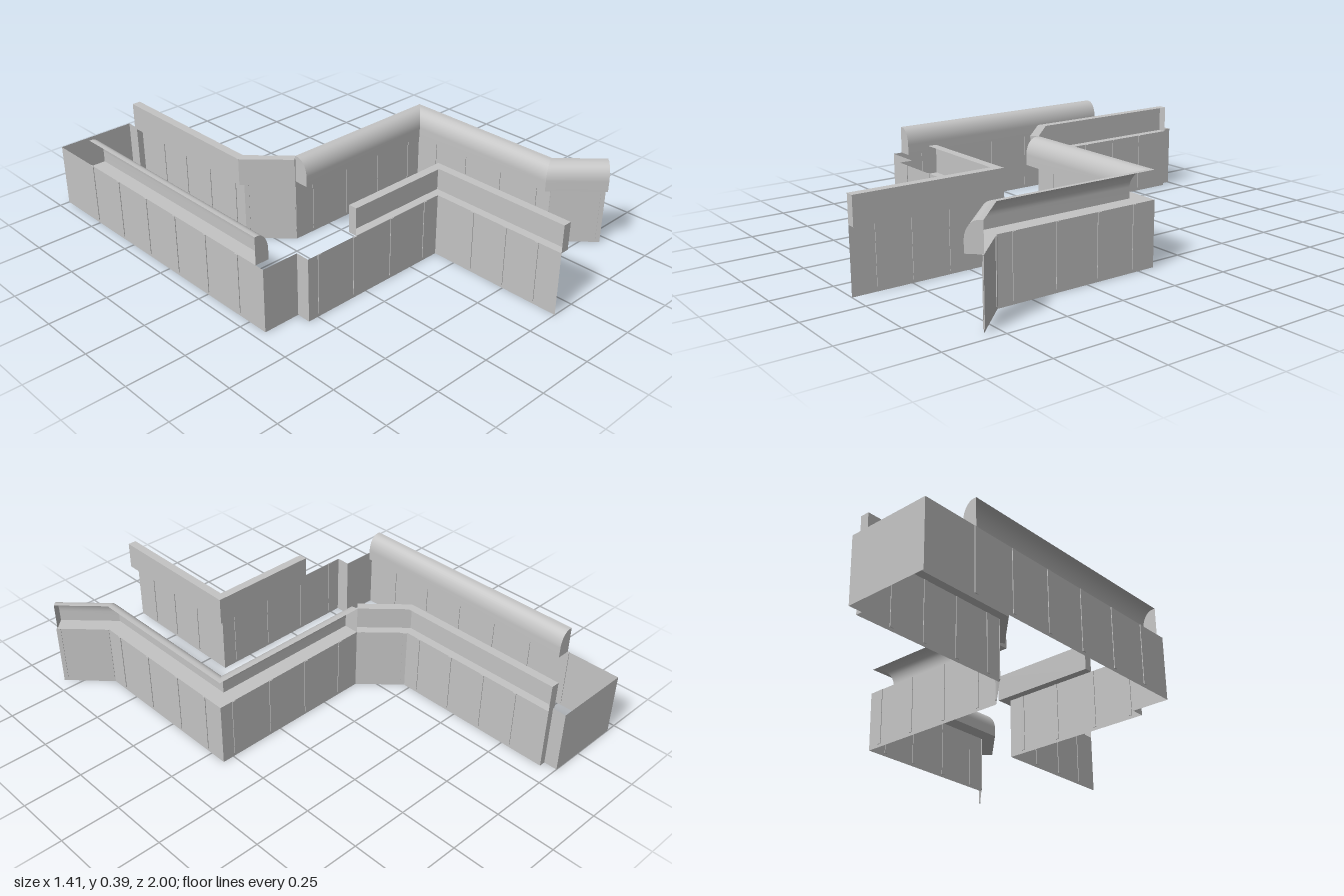
import * as THREE from 'three';

const WALL_H = 0.27, TOP = 0.387;

// Offset a path of [x, z] points sideways by d, with mitred corners.
function offsetPath(path, d) {
  const normal = (a, b) => {
    const l = Math.hypot(b[0] - a[0], b[1] - a[1]);
    return [(b[1] - a[1]) / l, -(b[0] - a[0]) / l];
  };
  return path.map((p, i) => {
    const n1 = normal(path[Math.max(i - 1, 0)], path[Math.max(i, 1)]);
    const j = Math.min(i, path.length - 2);
    const n2 = normal(path[j], path[j + 1]);
    const k = d / (1 + n1[0] * n2[0] + n1[1] * n2[1]);
    return [p[0] + (n1[0] + n2[0]) * k, p[1] + (n1[1] + n2[1]) * k];
  });
}

function meshFrom(positions, index, material, name) {
  let geo = new THREE.BufferGeometry();
  geo.setAttribute('position', new THREE.Float32BufferAttribute(positions, 3));
  geo.setIndex(index);
  geo.computeVertexNormals();
  const mesh = new THREE.Mesh(geo, material);
  mesh.name = name;
  return mesh;
}

// Sweep strips of a [depth, y] profile along a path; each strip is smooth, strips meet sharply.
function sweep(path, side, strips, capped, material, name) {
  const group = new THREE.Group();
  group.name = name;
  const ringAt = (profile, i) => profile.flatMap(([d, y]) => {
    const p = offsetPath(path, d * side)[i];
    return [p[0], y, p[1]];
  });
  for (let i = 0; i < path.length - 1; i++) {
    for (const profile of strips) {
      const n = profile.length, index = [];
      for (let k = 0; k < n - 1; k++) index.push(k, k + 1, n + k, k + 1, n + k + 1, n + k);
      group.add(meshFrom([...ringAt(profile, i), ...ringAt(profile, i + 1)], index, material, name + 'Face'));
    }
  }
  if (capped) {
    const outline = strips.flat();
    for (const i of [0, path.length - 1]) {
      const index = [];
      for (let k = 1; k < outline.length - 1; k++) index.push(0, k, k + 1);
      group.add(meshFrom(ringAt(outline, i), index, material, name + 'End'));
    }
  }
  return group;
}

export function createModel() {
  const model = new THREE.Group();
  const grey = new THREE.MeshStandardMaterial({ color: 0xc4c4c4, side: THREE.DoubleSide });
  grey.name = 'panel grey';

  // Corridor walls, open at both ends
  const outerWall = [[-0.332, -0.942], [-0.36, -0.942], [-0.36, -1], [-0.705, -1], [-0.705, 0.34],
    [-0.545, 0.34], [-0.545, 0.4], [0.147, 0.4], [0.147, 1]];
  const innerWall = [[-0.332, -0.942], [-0.332, -0.222], [-0.184, -0.074], [0.55, -0.074],
    [0.55, 0.65], [0.705, 0.81]];
  const wallProfile = [[[0, 0], [0, WALL_H]]];
  model.add(sweep(outerWall, 1, wallProfile, false, grey, 'outerWall'));
  model.add(sweep(innerWall, 1, wallProfile, false, grey, 'innerWall'));

  // Slim vertical joints between the wall panels
  const addJoints = (a, b, distances) => {
    const len = Math.hypot(b[0] - a[0], b[1] - a[1]);
    for (const d of distances) {
      const joint = new THREE.Mesh(new THREE.BoxGeometry(0.016, WALL_H - 0.015, 0.006), grey);
      joint.name = 'panelJoint';
      const t = d / len;
      joint.position.set(a[0] + (b[0] - a[0]) * t, (WALL_H + 0.013) / 2, a[1] + (b[1] - a[1]) * t);
      joint.rotation.y = -Math.atan2(b[1] - a[1], b[0] - a[0]);
      model.add(joint);
    }
  };
  addJoints([-0.705, -1], [-0.705, 0.34], [0.24, 0.43, 0.62, 0.81, 1.0, 1.19]);
  addJoints([-0.545, 0.4], [0.147, 0.4], [0.055, 0.235, 0.432, 0.62]);
  addJoints([0.147, 0.4], [0.147, 1], [0.18, 0.34, 0.49]);
  addJoints([-0.332, -0.942], [-0.332, -0.222], [0.16, 0.32, 0.487, 0.657]);
  addJoints([-0.184, -0.074], [0.55, -0.074], [0.1, 0.29, 0.48, 0.67]);
  addJoints([0.55, -0.074], [0.55, 0.65], [0.1, 0.27, 0.46, 0.65]);
  addJoints([-0.332, -0.222], [-0.184, -0.074], [0.01, 0.199]);
  addJoints([0.55, 0.65], [0.705, 0.81], [0.01, 0.212]);

  // Square channels, open towards the wall side
  const w = 0.037;
  const channel = [[[0, TOP], [w, TOP]], [[w, TOP], [w, WALL_H]], [[w, WALL_H], [0, WALL_H]]];
  model.add(sweep([[-0.305, 0.4], [0.147, 0.4], [0.147, 1]], 1, channel, true, grey, 'frontChannel'));
  model.add(sweep(innerWall.slice(0, 3), -1, channel, true, grey, 'backChannel'));

  // Rounded coves, open towards the wall side
  const cove = (depth) => {
    const curve = [[0, TOP - 0.001]];
    for (let i = 0; i <= 10; i++) {
      const a = (i / 10) * Math.PI / 2;
      curve.push([depth * (0.2 + 0.8 * Math.sin(a)), 0.315 + (TOP - 0.001 - 0.315) * Math.cos(a)]);
    }
    curve.push([depth, WALL_H]);
    return [curve, [[depth, WALL_H], [0, WALL_H]]];
  };
  model.add(sweep([[-0.705, -0.76], [-0.705, 0.3]], 1, cove(0.06), true, grey, 'sideCove'));
  model.add(sweep([[-0.184, -0.074], [0.546, -0.074], [0.546, 0.645], [0.703, 0.803]], -1,
    cove(0.066), true, grey, 'cornerCove'));
  // Ledge filling the gap between cove and wall
  model.add(sweep([[0.55, -0.074], [0.55, 0.65]], -1, [[[0, WALL_H], [0.01, WALL_H]]], false, grey, 'coveLedge'));

  return model;
}
